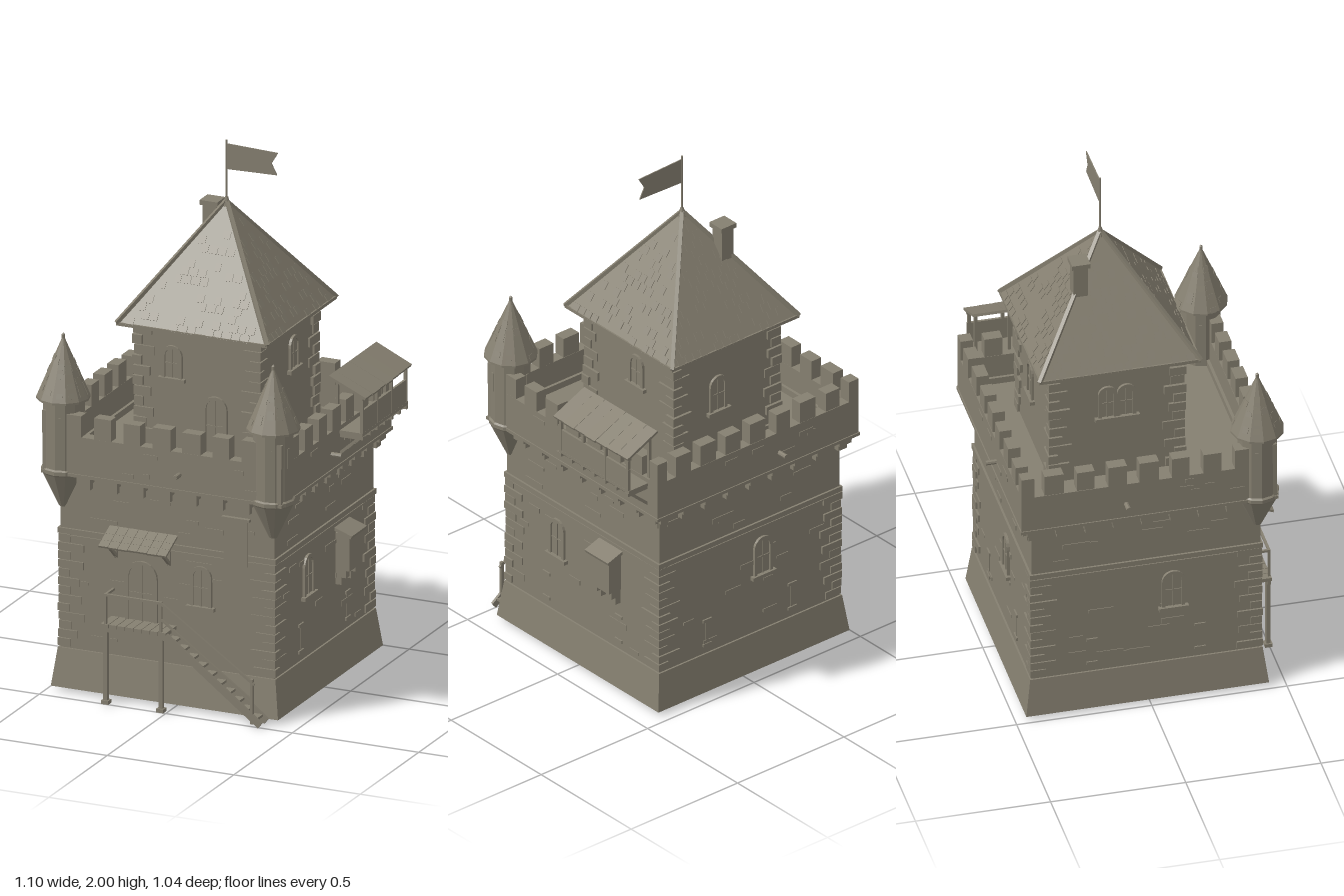
import * as THREE from 'three';
import { mergeGeometries } from 'three/addons/utils/BufferGeometryUtils.js';

const stone = new THREE.MeshStandardMaterial({ color: 0x857f70 });
let seed = 7;
const rnd = (a = 0, b = 1) => {
  seed = (seed * 16807) % 2147483647;
  return a + (b - a) * seed / 2147483647;
};

// Geometry helpers
const box = (w, h, d, x, y, z) => new THREE.BoxGeometry(w, h, d).translate(x, y, z);
const pole = (r, h, x, y, z, n = 8) => new THREE.CylinderGeometry(r, r, h, n).translate(x, y + h / 2, z);
const beam = (a, b, w, h = w) => {
  const A = new THREE.Vector3(...a), B = new THREE.Vector3(...b);
  const m = new THREE.Matrix4().lookAt(A, B, new THREE.Vector3(0, 1, 0.001));
  m.setPosition(A.clone().add(B).multiplyScalar(0.5));
  return new THREE.BoxGeometry(w, h, A.distanceTo(B)).applyMatrix4(m);
};
const frustum = (top, bottom, y0, y1) => new THREE.CylinderGeometry(top * Math.SQRT2, bottom * Math.SQRT2, y1 - y0, 4, 1)
  .rotateY(Math.PI / 4).translate(0, (y0 + y1) / 2, 0);
const turn = (geos, side) => geos.map(g => g.rotateY(side * Math.PI / 2));

// Faceted mesh merged from many pieces
function part(name, geos, parent) {
  const flat = geos.map(g => {
    const f = g.index ? g.toNonIndexed() : g;
    f.deleteAttribute('uv');
    f.computeVertexNormals();
    return f;
  });
  const mesh = new THREE.Mesh(mergeGeometries(flat), stone);
  mesh.name = name;
  parent.add(mesh);
  return mesh;
}

function archShape(C, w, h) {
  const s = new C();
  s.moveTo(-w / 2, 0);
  s.lineTo(w / 2, 0);
  s.lineTo(w / 2, h - w / 2);
  s.absarc(0, h - w / 2, w / 2, 0, Math.PI, false);
  s.lineTo(-w / 2, 0);
  return s;
}

// Arched opening with frame, bars and sill, on a wall facing +z
function arch(w, h, x, y, z, door = false) {
  const s = archShape(THREE.Shape, w + 0.025, h + 0.0125);
  s.holes.push(archShape(THREE.Path, w, h));
  const out = [
    new THREE.ExtrudeGeometry(s, { depth: 0.01, bevelEnabled: false, curveSegments: 5 }).translate(x, y, z),
    new THREE.ExtrudeGeometry(archShape(THREE.Shape, w, h), { depth: 0.003, bevelEnabled: false, curveSegments: 5 }).translate(x, y, z),
    box(0.005, h, 0.006, x, y + h / 2, z + 0.003),
    box(w, 0.005, 0.006, x, y + h * 0.5, z + 0.003),
  ];
  if (!door) out.push(box(w + 0.05, 0.014, 0.024, x, y - 0.006, z + 0.006));
  return out;
}

const slit = (x, y, z) => [box(0.012, 0.09, 0.004, x, y, z),
  box(0.04, 0.012, 0.012, x, y + 0.05, z), box(0.04, 0.012, 0.012, x, y - 0.05, z)];

// Alternating corner stones on all four corners
function quoins(h, y0, y1, step, long, short, out) {
  const list = [];
  for (const sx of [-1, 1]) for (const sz of [-1, 1]) {
    let odd = sx * sz > 0;
    for (let y = y0; y < y1 - step / 2; y += step, odd = !odd) {
      const a = (odd ? long : short) * rnd(0.8, 1.15), b = (odd ? short : long) * rnd(0.8, 1.15), o = out * rnd(0.5, 1.1);
      list.push(box(a, step * 0.86, b, sx * (h + o - a / 2), y + step / 2, sz * (h + o - b / 2)));
    }
  }
  return list;
}

function makeTower() {
  const g = new THREE.Group();
  g.name = 'tower';
  g.position.set(-0.034, 0, -0.011);
  const H = 0.423, P = 0.472;
  part('plinth', [frustum(0.43, 0.449, 0.02, 0.165)], g);
  part('walls', [box(2 * H, 0.71, 2 * H, 0, 0.515, 0)], g);
  part('stringCourse', [box(0.862, 0.02, 0.862, 0, 0.61, 0), box(0.856, 0.006, 0.856, 0, 0.592, 0)], g);
  part('cornerStones', quoins(H, 0.17, 0.595, 0.033, 0.09, 0.05, 0.007), g);
  part('walkFloor', [box(0.9, 0.03, 0.9, 0, 0.86, 0)], g);

  const corbels = [], parapet = [], merlons = [], spouts = [], openings = [], bricks = [];
  const spoutAt = [0.07, -0.04, 0.1, -0.085];
  const windowAt = [0.135, -0.14, 0.06, 0.1];
  for (let s = 0; s < 4; s++) {
    const c = [], p = [], m = [], b = [];
    for (let i = -4; i <= 4; i++) {
      c.push(box(0.055, 0.03, 0.04, i * 0.105, 0.825, H + 0.018));
      c.push(box(0.04, 0.03, 0.024, i * 0.105, 0.798, H + 0.01));
      const end = Math.abs(i) === 4, w = end ? 0.045 : 0.068 + rnd(-0.005, 0.005);
      m.push(box(w, 0.08 + rnd(-0.006, 0.008), 0.045, end ? Math.sign(i) * 0.4495 : i * 0.117, 1.029, P - 0.0225 + rnd(-0.002, 0.002)));
    }
    p.push(box(2 * P, 0.15, 0.045, 0, 0.915, P - 0.0225));
    p.push(box(2 * P + 0.008, 0.012, 0.06, 0, 0.842, P - 0.026));
    p.push(box(2 * P - 0.09, 0.03, 0.012, 0, 0.885, P - 0.05));
    for (let i = 0; i < 16; i++) {
      const low = i < 9;
      b.push(box(rnd(0.04, 0.11), rnd(0.01, 0.022), 0.006, rnd(-0.34, 0.34), low ? rnd(0.19, 0.57) : rnd(0.64, 0.77), H));
    }
    for (let i = 0; i < 5; i++) b.push(box(rnd(0.03, 0.07), 0.016, 0.005, rnd(-0.36, 0.36), rnd(0.87, 0.97), P));
    corbels.push(...turn(c, s));
    parapet.push(...turn(p, s));
    merlons.push(...turn(m, s));
    bricks.push(...turn(b, s));
    spouts.push(...turn([new THREE.CylinderGeometry(0.009, 0.009, 0.08, 8).rotateX(Math.PI / 2).translate(spoutAt[s], 0.905, P)], s));
    const o = arch(0.06, 0.14, windowAt[s], 0.4, H);
    if (s > 0) o.push(...slit(-0.2, 0.25, H), ...slit(0.2, 0.25, H));
    else o.push(...arch(0.1, 0.22, -0.1, 0.305, H, true));
    openings.push(...turn(o, s));
  }
  part('corbels', corbels, g);
  part('parapet', parapet, g);
  part('merlons', merlons, g);
  part('wallBricks', bricks, g);
  part('waterSpouts', spouts, g);
  part('towerOpenings', openings, g);
  return g;
}

function makeKeep() {
  const g = new THREE.Group();
  g.name = 'keep';
  g.position.set(-0.024, 0, -0.072);
  const K = 0.244;
  part('keepWalls', [box(2 * K, 0.5, 2 * K, 0, 1.11, 0)], g);
  part('keepCornerStones', quoins(K, 0.88, 1.35, 0.039, 0.075, 0.045, 0.011), g);
  const openings = [
    ...arch(0.07, 0.2, 0.07, 0.9, K, true), ...arch(0.055, 0.11, -0.1, 1.16, K),
    ...turn(arch(0.055, 0.11, 0.04, 1.16, K), 1), ...turn(arch(0.055, 0.13, -0.04, 1.07, K), 2),
    ...turn([...arch(0.045, 0.12, -0.035, 1.13, K), ...arch(0.045, 0.12, 0.035, 1.13, K)], 3)];
  part('keepOpenings', openings, g);

  // Pyramid roof with ridge rolls and scattered raised tiles
  const R = 0.295, y0 = 1.355, rise = 0.415;
  part('roof', [frustum(0.002, R, y0, y0 + rise), box(2 * R + 0.008, 0.012, 2 * R + 0.008, 0, y0 - 0.003, 0)], g);
  const tiles = [], ridges = [];
  for (let s = 0; s < 4; s++) {
    const t = [];
    for (let row = 0; row < 15; row++) {
      const k = (row + 0.4) / 16.5, half = R * (1 - k) - 0.025;
      for (let u = -half; u < half; u += 0.035) {
        if (rnd() < 0.55) continue;
        t.push(box(rnd(0.02, 0.032), 0.03, 0.004, 0, 0, 0).rotateX(-Math.atan2(R, rise))
          .translate(Math.min(u + 0.015, half), y0 + rise * k, R * (1 - k) + 0.001));
      }
    }
    tiles.push(...turn(t, s));
    ridges.push(...turn([beam([R + 0.003, y0, R + 0.003], [0, y0 + rise, 0], 0.014)], s));
  }
  part('roofTiles', tiles, g);
  part('roofRidges', ridges, g);
  part('chimney', [box(0.054, 0.28, 0.054, -0.104, 1.58, -0.104), box(0.07, 0.018, 0.068, -0.104, 1.72, -0.104)], g);

  // Flagpole and swallow-tailed flag
  part('flagpole', [pole(0.004, 0.25, 0, 1.75, 0), new THREE.CylinderGeometry(0.006, 0.018, 0.04, 8).translate(0, 1.765, 0)], g);
  const f = new THREE.Shape([[0, 1.89], [0.2, 1.895], [0.178, 1.937], [0.204, 1.98], [0, 1.987]].map(p => new THREE.Vector2(...p)));
  part('flag', [new THREE.ExtrudeGeometry(f, { depth: 0.004, bevelEnabled: false }).translate(0, 0, -0.002)], g);
  return g;
}

function makeTurret(x, z) {
  const g = new THREE.Group();
  g.name = 'cornerTurret';
  g.position.set(x, 0, z);
  const profile = [[0, 0.7], [0.015, 0.7], [0.076, 0.83], [0.08, 0.836], [0.08, 0.85], [0.073, 0.855], [0.073, 1.115],
    [0.098, 1.11], [0.098, 1.118], [0.01, 1.325], [0.006, 1.335], [0.006, 1.35], [0, 1.357]];
  part('turretBody', [new THREE.LatheGeometry(profile.map(p => new THREE.Vector2(...p)), 12)], g);
  const slits = [], tiles = [];
  for (let i = 0; i < 6; i++) slits.push(box(0.012, 0.075, 0.005, 0, 1.015, 0.071).rotateY((i + 0.25) * Math.PI / 3));
  for (let i = 0; i < 40; i++) {
    const k = rnd(0.03, 0.75);
    tiles.push(box(0.022, 0.02, 0.003, 0, 0, 0).rotateX(-Math.atan2(0.088, 0.207))
      .translate(0, 1.118 + 0.207 * k, (0.098 - 0.088 * k) * 0.97).rotateY((Math.floor(rnd(0, 12)) + 0.5) * Math.PI / 6));
  }
  part('turretSlits', slits, g);
  part('turretTiles', tiles, g);
  return g;
}

function makeStair() {
  const g = new THREE.Group();
  g.name = 'entranceStair';
  const deck = [], rails = [], steps = [];
  for (let i = 0; i < 8; i++) deck.push(box(0.03, 0.014, 0.095, -0.24 + i * 0.0325, 0.304, 0.458));
  deck.push(box(0.25, 0.016, 0.012, -0.127, 0.289, 0.497));
  for (const x of [-0.238, -0.02]) {
    deck.push(box(0.016, 0.28, 0.016, x, 0.16, 0.495), box(0.028, 0.014, 0.028, x, 0.014, 0.495));
    rails.push(box(0.009, 0.12, 0.009, x, 0.365, 0.499));
  }
  rails.push(box(0.225, 0.009, 0.009, -0.128, 0.421, 0.499), box(0.009, 0.009, 0.07, -0.238, 0.421, 0.465));
  rails.push(beam([-0.02, 0.42, 0.499], [0.35, 0.165, 0.499], 0.009), box(0.011, 0.17, 0.011, 0.34, 0.1, 0.499));
  rails.push(beam([-0.02, 0.36, 0.499], [0.34, 0.105, 0.499], 0.007));
  for (const z of [0.449, 0.503]) steps.push(beam([0, 0.3, z], [0.375, 0.015, z], 0.01, 0.026));
  for (let i = 0; i < 10; i++) steps.push(box(0.034, 0.009, 0.052, 0.022 + i * 0.036, 0.283 - i * 0.0274, 0.476));
  part('landing', deck, g);
  part('railing', rails, g);
  part('steps', steps, g);

  // Shingled awning over the door
  const awning = [];
  for (let r = 0; r < 3; r++) for (let i = 0; i < 7; i++)
    awning.push(box(0.037, 0.008, 0.04 + rnd(0, 0.006), 0, 0, 0).rotateX(0.42)
      .translate(-0.243 + i * 0.0385, 0.642 - r * 0.0145, 0.43 + r * 0.031));
  for (const x of [-0.235, -0.025]) awning.push(beam([x, 0.54, 0.412], [x, 0.61, 0.49], 0.011), box(0.011, 0.08, 0.011, x, 0.58, 0.417));
  part('awning', awning, g);
  return g;
}

// Roofed timber gallery hanging from the +x parapet
function makeGallery() {
  const g = new THREE.Group();
  g.name = 'timberGallery';
  const timber = [box(0.1, 0.012, 0.39, 0.478, 0.968, -0.235), box(0.012, 0.012, 0.39, 0.523, 1.105, -0.235), box(0.009, 0.09, 0.385, 0.523, 1.015, -0.235)];
  for (let i = 0; i < 7; i++) {
    const z = -0.42 + i * 0.062;
    timber.push(beam([0.435, 0.885, z], [0.52, 0.96, z], 0.011), box(0.1, 0.014, 0.012, 0.48, 0.955, z));
    if (i % 2 === 0) timber.push(box(0.011, 0.15, 0.011, 0.523, 1.035, z), box(0.011, 0.2, 0.011, 0.425, 1.06, z));
  }
  part('galleryFrame', timber, g);
  const roof = [];
  for (let i = 0; i < 7; i++) {
    const z = -0.407 + i * 0.058, x = 0.542 + rnd(-0.006, 0.006);
    roof.push(beam([0.398, 1.175, z], [x, 1.11, z], 0.0575, 0.01));
  }
  part('galleryRoof', roof, g);
  return g;
}

export function createModel() {
  const model = new THREE.Group();
  model.name = 'castleTower';
  model.add(makeTower(), makeKeep(), makeTurret(-0.45, 0.402), makeTurret(0.38, 0.402), makeStair(), makeGallery());

  // Hanging banner on the front
  const b = new THREE.Shape([[0.195, 0.58], [0.242, 0.555], [0.29, 0.58], [0.29, 0.755], [0.195, 0.755]].map(p => new THREE.Vector2(...p)));
  part('banner', [new THREE.ExtrudeGeometry(b, { depth: 0.006, bevelEnabled: false }).translate(0, 0, 0.424), box(0.11, 0.01, 0.016, 0.242, 0.755, 0.422)], model);

  // Closet bay on the +x wall
  const bay = [box(0.06, 0.14, 0.11, 0.415, 0.485, -0.165), beam([0.38, 0.575, -0.165], [0.456, 0.548, -0.165], 0.13, 0.012)];
  for (const z of [-0.125, -0.205]) bay.push(box(0.045, 0.03, 0.026, 0.408, 0.402, z), box(0.028, 0.032, 0.026, 0.398, 0.375, z));
  part('closetBay', bay, model);
  return model;
}
